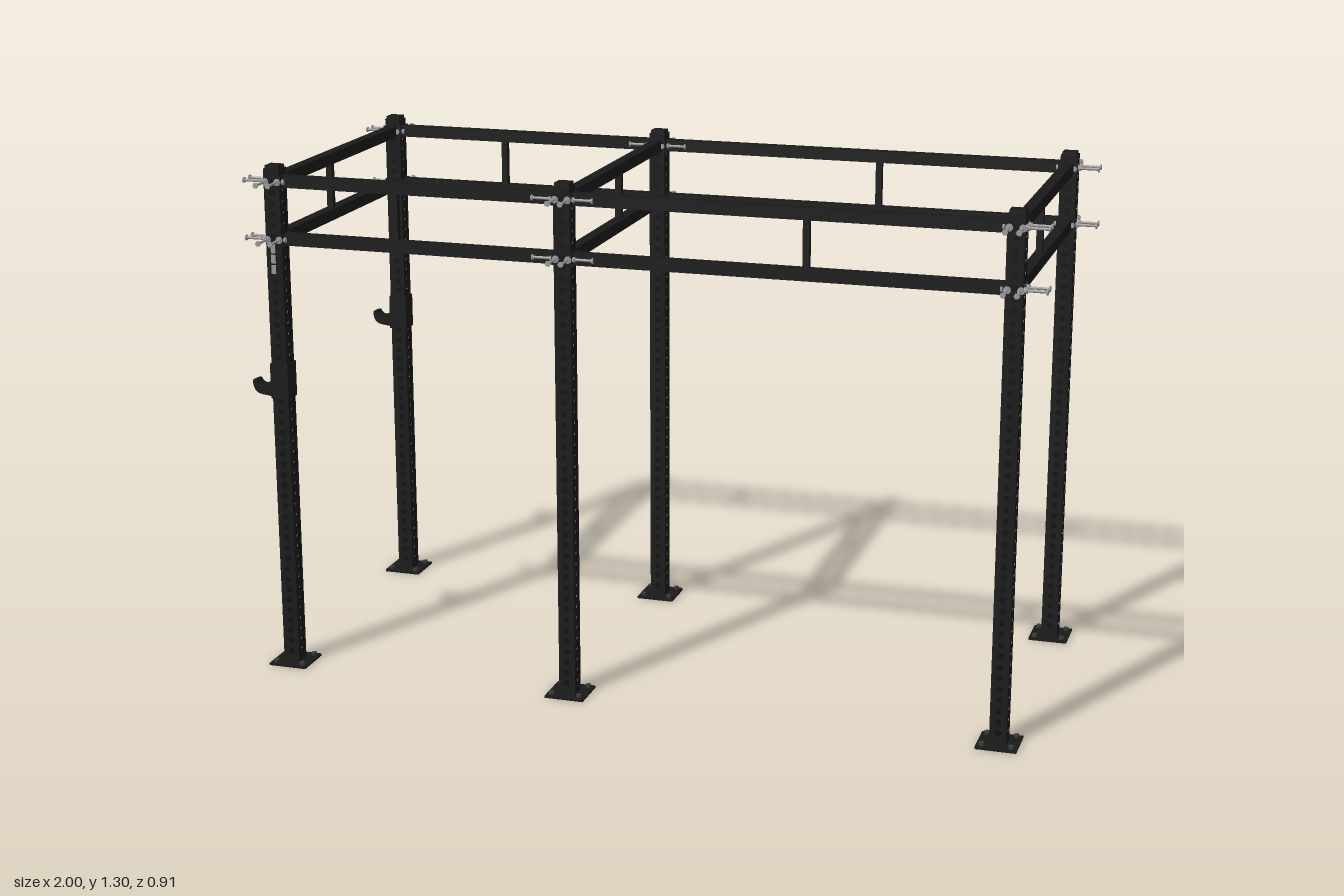
import * as THREE from 'three';
import { mergeGeometries } from 'three/addons/utils/BufferGeometryUtils.js';

const mat = (name, color) => {
  const m = new THREE.MeshStandardMaterial({ color });
  m.name = name;
  return m;
};

export function createModel() {
  const black = mat('blackPaint', 0x1a1a1a);
  const holeBlack = mat('holeBlack', 0x101010);
  const steel = mat('steel', 0x9a9a9a);
  const darkSteel = mat('darkSteel', 0x3c3c3c);

  const root = new THREE.Group();
  root.name = 'pullUpRig';

  const add = (parent, name, geo, material, x = 0, y = 0, z = 0) => {
    const m = new THREE.Mesh(geo, material);
    m.name = name;
    m.position.set(x, y, z);
    parent.add(m);
    return m;
  };
  const box = (w, h, d) => new THREE.BoxGeometry(w, h, d);

  const postX = [-0.922, -0.167, 0.922];
  const postZ = 0.378;
  const W = 0.042;
  const H = 1.305;
  const railY = [1.265, 1.12];

  // Raised hole rims up all four faces of a post, merged to one geometry
  const rims = [];
  for (let y = 0.035; y < 1.29; y += 0.028) {
    for (const axis of ['x', 'z']) {
      const c = new THREE.CylinderGeometry(0.0075, 0.0075, W + 0.004, 10);
      if (axis === 'x') c.rotateZ(Math.PI / 2);
      else c.rotateX(Math.PI / 2);
      rims.push(c.translate(0, y, 0));
    }
  }
  const rimGeo = mergeGeometries(rims);

  // Bolt along +x: shank, washer by the post, nut and head at the tip
  const along = (r, len, x, sides) =>
    new THREE.CylinderGeometry(r, r, len, sides).rotateZ(Math.PI / 2).translate(x, 0, 0);
  const boltGeo = mergeGeometries([
    along(0.0035, 0.106, 0.0235, 8),
    along(0.009, 0.003, 0.0235, 12),
    along(0.007, 0.006, 0.028, 6),
    along(0.0075, 0.004, 0.076, 6),
    along(0.007, 0.006, -0.029, 6),
  ]);

  // Posts with foot plates, anchors and caps
  for (const x of postX) {
    for (const s of [1, -1]) {
      const post = new THREE.Group();
      post.name = 'post';
      post.position.set(x, 0, s * postZ);
      root.add(post);
      add(post, 'postTube', box(W, H - 0.008, W), black, 0, (H - 0.008) / 2, 0);
      add(post, 'postCap', box(W - 0.006, 0.008, W - 0.006), black, 0, H - 0.004, 0);
      add(post, 'holeRims', rimGeo, holeBlack);
      add(post, 'footPlate', box(0.1, 0.006, 0.1), black, 0, 0.003, 0);
      for (const ax of [-1, 1]) for (const az of [-1, 1]) {
        add(post, 'anchorBolt', new THREE.CylinderGeometry(0.007, 0.007, 0.008, 6),
          darkSteel, ax * 0.036, 0.01, az * 0.036);
      }

      // Bolt pairs come out opposite each rail joined to the post
      const angles = [s > 0 ? -Math.PI / 2 : Math.PI / 2];
      if (x < 0.5) angles.push(Math.PI);
      if (x > -0.5) angles.push(0);
      for (const y of railY) for (const a of angles) {
        const joint = new THREE.Group();
        joint.name = 'joint';
        joint.position.y = y;
        joint.rotation.y = a;
        post.add(joint);
        for (const o of [-0.016, 0.016]) add(joint, 'bolt', boltGeo, steel, 0, 0, o);
      }
    }
  }

  // A pair of rails with end plates and one upright strut; built along x
  const railFrame = (name, length, strutAt) => {
    const g = new THREE.Group();
    g.name = name;
    const clear = length - W;
    for (const y of railY) {
      add(g, 'rail', box(clear, 0.029, 0.028), black, 0, y, 0);
      for (const e of [-1, 1]) {
        add(g, 'railEndPlate', box(0.005, 0.029, 0.048), black, e * (clear / 2 - 0.0025), y, 0);
      }
    }
    add(g, 'strut', box(0.016, railY[0] - railY[1] - 0.02, 0.016), black,
      strutAt, (railY[0] + railY[1]) / 2, 0);
    root.add(g);
    return g;
  };

  // Long side rails
  const strutX = [-0.603, 0.43];
  for (const s of [1, -1]) {
    for (let i = 0; i < 2; i++) {
      const mid = (postX[i] + postX[i + 1]) / 2;
      railFrame('sideRails', postX[i + 1] - postX[i], strutX[i] - mid)
        .position.set(mid, 0, s * postZ);
    }
  }
  // Cross rails
  const strutZ = [0.055, -0.036, 0.055];
  postX.forEach((x, i) => {
    const g = railFrame('crossRails', 2 * postZ, -strutZ[i]);
    g.rotation.y = Math.PI / 2;
    g.position.x = x;
  });

  // Bar hooks on the outer faces of the end posts
  const hook = new THREE.Shape();
  hook.moveTo(-0.023, 0.75);
  hook.lineTo(-0.05, 0.742);
  hook.quadraticCurveTo(-0.062, 0.742, -0.067, 0.755);
  hook.lineTo(-0.078, 0.753);
  hook.quadraticCurveTo(-0.078, 0.722, -0.055, 0.718);
  hook.lineTo(-0.023, 0.714);
  const hookGeo = new THREE.ExtrudeGeometry(hook, { depth: 0.03, bevelEnabled: false, curveSegments: 6 })
    .translate(0, 0, -0.015);
  for (const s of [1, -1]) {
    const cup = new THREE.Group();
    cup.name = 'barHook';
    cup.position.set(postX[0], 0, s * postZ);
    root.add(cup);
    add(cup, 'hookBracket', box(0.048, 0.09, 0.049), black, 0, 0.757, 0);
    add(cup, 'hookArm', hookGeo, black);
  }

  // Pale marker strip on the front of the end post
  for (let i = 0; i < 3; i++) {
    add(root, 'markerStrip', box(0.012, 0.022, 0.002), steel,
      postX[0] - 0.002, 1.045 + i * 0.026, postZ + W / 2 + 0.002);
  }
  return root;
}
